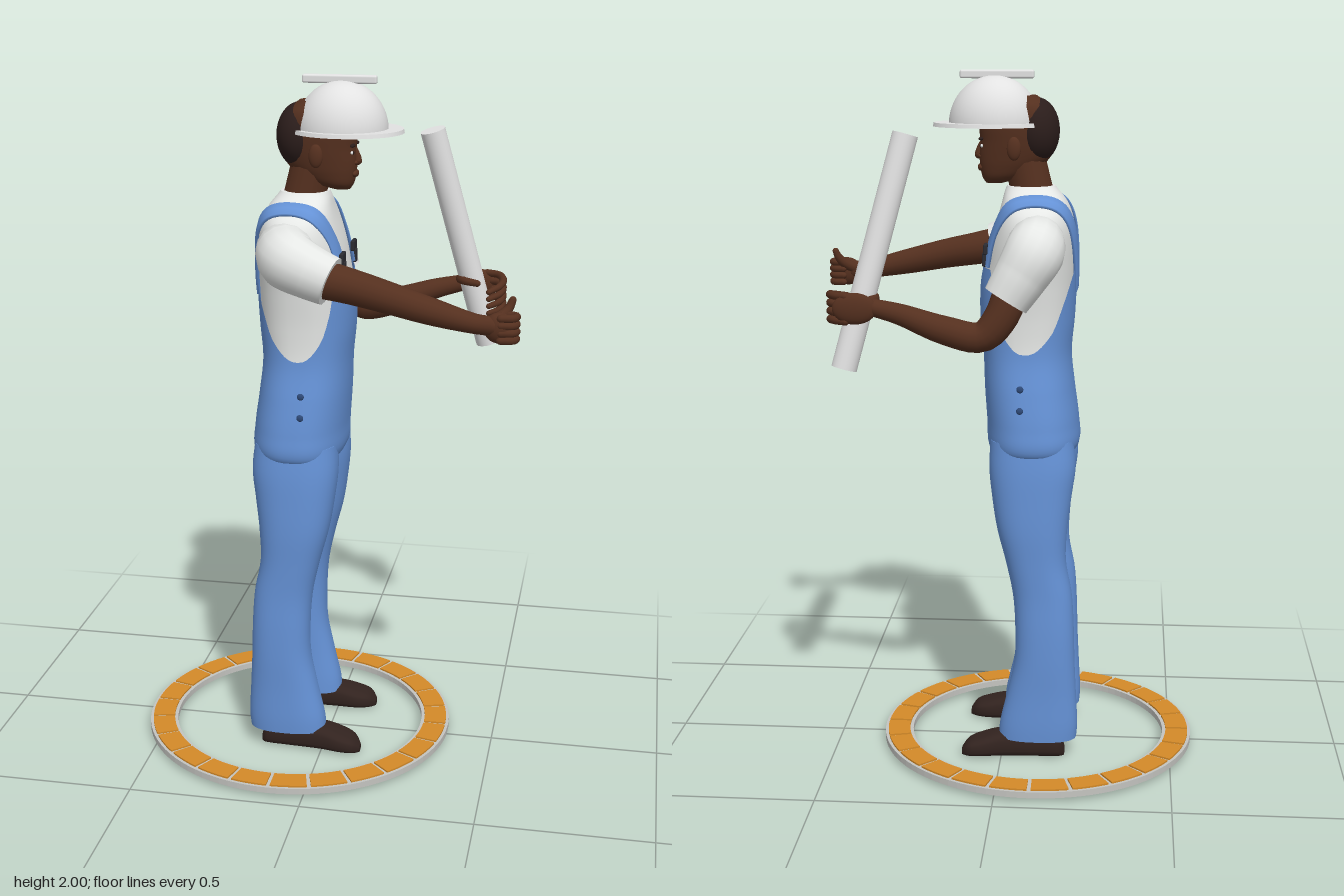
import * as THREE from 'three';
import { RoundedBoxGeometry } from 'three/addons/geometries/RoundedBoxGeometry.js';

const V = (x, y, z) => new THREE.Vector3(x, y, z);

function material(name, color, side = THREE.FrontSide) {
  const m = new THREE.MeshStandardMaterial({ color, side });
  m.name = name;
  return m;
}

// smooth interpolation of table rows, keyed by their first column
function sample(rows, k) {
  const n = rows.length;
  let i = 0;
  while (i < n - 2 && k > rows[i + 1][0]) i++;
  const a = rows[i], b = rows[i + 1], h = b[0] - a[0];
  const t = THREE.MathUtils.clamp((k - a[0]) / h, 0, 1);
  const p = rows[Math.max(i - 1, 0)], q = rows[Math.min(i + 2, n - 1)];
  return a.map((v, c) => {
    const m0 = (b[c] - p[c]) / (b[0] - p[0]) * h, m1 = (q[c] - v) / (q[0] - a[0]) * h;
    return v * (2 * t ** 3 - 3 * t * t + 1) + m0 * (t ** 3 - 2 * t * t + t)
      + b[c] * (3 * t * t - 2 * t ** 3) + m1 * (t ** 3 - t * t);
  });
}

// closed skin over a list of loops, with optional caps
function skin(rings, caps = true) {
  const m = rings[0].length, pos = [], idx = [];
  rings.forEach(r => r.forEach(p => pos.push(p.x, p.y, p.z)));
  for (let i = 0; i < rings.length - 1; i++) for (let j = 0; j < m; j++) {
    const k = (j + 1) % m, a = i * m + j, b = i * m + k;
    idx.push(a, b, a + m, b, b + m, a + m);
  }
  if (caps) for (const end of [0, 1]) {
    const ring = rings[end ? rings.length - 1 : 0], base = pos.length / 3, c = V(0, 0, 0);
    ring.forEach(p => { pos.push(p.x, p.y, p.z); c.addScaledVector(p, 1 / m); });
    pos.push(c.x, c.y, c.z);
    for (let j = 0; j < m; j++) {
      const k = (j + 1) % m;
      idx.push(base + m, base + (end ? j : k), base + (end ? k : j));
    }
  }
  const g = new THREE.BufferGeometry();
  g.setAttribute('position', new THREE.Float32BufferAttribute(pos, 3));
  g.setIndex(idx);
  g.computeVertexNormals();
  return g;
}

const power = (s, n) => Math.sign(s) * Math.abs(s) ** (2 / n);

// point on an upright form, row = [y, back, front, zMin, zMax]
function onForm(rows, y, a, n, off = 0) {
  const [, x0, x1, z0, z1] = sample(rows, y);
  return V((x0 + x1) / 2 + ((x1 - x0) / 2 + off) * power(Math.sin(a), n), y,
    (z0 + z1) / 2 + ((z1 - z0) / 2 + off) * power(Math.cos(a), n));
}

function upright(rows, y0, y1, n = 2.3, steps = 40, m = 40) {
  return skin(Array.from({ length: steps + 1 }, (_, i) => Array.from({ length: m }, (_, j) =>
    onForm(rows, y0 + (y1 - y0) * i / steps, j / m * Math.PI * 2, n))));
}

// tapered round limb through [x, y, z, radius] with rounded ends
function limb(pts, openEnd = false, steps = 24, m = 16) {
  const curve = new THREE.CatmullRomCurve3(pts.map(p => V(p[0], p[1], p[2])));
  const radii = pts.map((p, i) => [i, p[3]]);
  const f = curve.computeFrenetFrames(steps), rings = [];
  const add = (i, shift, scale) => {
    const r = sample(radii, curve.getUtoTmapping(i / steps) * (pts.length - 1))[1];
    const c = curve.getPointAt(i / steps).addScaledVector(f.tangents[i], shift * r);
    rings.push(Array.from({ length: m }, (_, j) => {
      const a = j / m * Math.PI * 2;
      return c.clone().addScaledVector(f.normals[i], r * scale * Math.cos(a))
        .addScaledVector(f.binormals[i], r * scale * Math.sin(a));
    }));
  };
  const bend = [0.4, 0.8, 1.2, 1.55];
  [...bend].reverse().forEach(a => add(0, -Math.sin(a), Math.cos(a)));
  for (let i = 0; i <= steps; i++) add(i, 0, 1);
  if (!openEnd) bend.forEach(a => add(steps, Math.sin(a), Math.cos(a)));
  return skin(rings);
}

const TORSO = [[0.89, -0.17, 0.01, 0.15], [0.93, -0.21, 0.038, 0.192], [1, -0.21, 0.043, 0.192], [1.1, -0.197, 0.05, 0.177],
  [1.2, -0.187, 0.054, 0.158], [1.3, -0.195, 0.063, 0.157], [1.4, -0.2, 0.062, 0.166], [1.46, -0.202, 0.052, 0.174],
  [1.52, -0.202, 0.04, 0.183], [1.57, -0.198, 0.026, 0.182], [1.61, -0.188, 0.014, 0.162], [1.64, -0.173, 0.006, 0.12],
  [1.665, -0.153, 0, 0.075], [1.678, -0.143, -0.006, 0.063]].map(([y, b, f, z]) => [y, b, f, -z, z]);
const HEAD = [[1.685, 0.005, 0.054, 0.022], [1.7, -0.05, 0.064, 0.044], [1.73, -0.1, 0.071, 0.058], [1.76, -0.13, 0.073, 0.066],
  [1.8, -0.142, 0.071, 0.073], [1.85, -0.142, 0.073, 0.077], [1.9, -0.125, 0.06, 0.072], [1.93, -0.09, 0.03, 0.05]]
  .map(([y, b, f, z]) => [y, b, f, -z, z]);
const LEG = [[0.06, -0.222, 0.008, 0.068, 0.198], [0.1, -0.225, 0.005, 0.068, 0.2], [0.2, -0.22, -0.018, 0.068, 0.2],
  [0.3, -0.215, -0.038, 0.064, 0.203], [0.4, -0.212, -0.04, 0.062, 0.203], [0.5, -0.205, -0.033, 0.056, 0.2],
  [0.6, -0.187, -0.012, 0.046, 0.202], [0.7, -0.19, 0.014, 0.032, 0.206], [0.8, -0.202, 0.03, 0.016, 0.204],
  [0.88, -0.212, 0.038, 0.002, 0.2], [0.96, -0.205, 0.035, -0.005, 0.19]];
// height of the overalls' upper edge, from back (-1) over the side to the front (1)
const EDGE = [[-1, 1.47], [-0.93, 1.44], [-0.75, 1.36], [-0.5, 1.27], [0, 1.215], [0.4, 1.27], [0.6, 1.36], [0.72, 1.445], [0.8, 1.452], [1, 1.452]];

// pushes a point out from the chest onto the torso surface
function onTorso(p, off) {
  const c = V(-0.065, 1.42, 0), d = p.clone().sub(c).normalize();
  let lo = 0, hi = 0.4;
  for (let i = 0; i < 30; i++) {
    const r = (lo + hi) / 2, q = c.clone().addScaledVector(d, r);
    const [, x0, x1, , z] = sample(TORSO, q.y);
    const inside = q.y < 1.678 && Math.abs((q.x - (x0 + x1) / 2) / ((x1 - x0) / 2)) ** 2.4 + Math.abs(q.z / z) ** 2.4 < 1;
    if (inside) lo = r; else hi = r;
  }
  return c.addScaledVector(d, lo + off);
}

function strapGeometry(s) {
  const path = new THREE.CatmullRomCurve3([[-0.2, 1.39, 0.02], [-0.2, 1.5, 0.055], [-0.18, 1.6, 0.1], [-0.085, 1.65, 0.13],
    [-0.01, 1.61, 0.122], [0.03, 1.56, 0.108], [0.05, 1.46, 0.09]].map(([x, y, z]) => V(x, y, z * s)));
  const rings = [];
  for (let i = 0; i <= 40; i++) {
    const p = path.getPointAt(i / 40), out = p.clone().sub(V(-0.065, 1.42, 0));
    const side = path.getTangentAt(i / 40).cross(out).normalize().multiplyScalar(0.024);
    const a = p.clone().add(side), b = p.clone().sub(side);
    rings.push([onTorso(a, 0.012), onTorso(p, 0.013), onTorso(b, 0.012), onTorso(b, 0.002), onTorso(a, 0.002)]);
  }
  return skin(rings);
}

function arcBand(r0, r1, a0, a1, depth) {
  const s = new THREE.Shape();
  s.absarc(0, 0, r1, a0, a1, false);
  s.absarc(0, 0, r0, a1, a0, true);
  return new THREE.ExtrudeGeometry(s, { depth, bevelEnabled: false, curveSegments: 6 }).rotateX(-Math.PI / 2);
}

export function createModel() {
  const model = new THREE.Group();
  model.name = 'builder';
  const denim = material('denim blue', 0x6592d6, THREE.DoubleSide), shirt = material('shirt white', 0xe6e8e6);
  const skinTone = material('skin brown', 0x55301f), hair = material('hair dark', 0x2b1d1b), shoe = material('shoe brown', 0x32231f);
  const shell = material('helmet white', 0xe2e2e2), metal = material('dark metal', 0x2c2c32), orange = material('ring orange', 0xd48a28);
  const grey = material('ring grey', 0xc4c4c0), navy = material('button blue', 0x2f4a78);
  const add = (name, geo, mat, x = 0, y = 0, z = 0) => {
    const m = new THREE.Mesh(geo, mat);
    m.name = name;
    m.position.set(x, y, z);
    model.add(m);
    return m;
  };
  const ball = (name, mat, x, y, z, rx, ry, rz) =>
    add(name, new THREE.SphereGeometry(1, 24, 16), mat, x, y, z).scale.set(rx, ry, rz);

  // floor ring with tiles
  const disc = new THREE.Shape().absarc(0, 0, 0.465, 0, Math.PI * 2);
  disc.holes.push(new THREE.Path().absarc(0, 0, 0.38, 0, Math.PI * 2, true));
  add('ringBase', new THREE.ExtrudeGeometry(disc, { depth: 0.018, bevelEnabled: false, curveSegments: 48 })
    .rotateX(-Math.PI / 2), grey, -0.1, 0.012, 0);
  for (let i = 0; i < 24; i++) {
    const a = i * Math.PI / 12;
    add('ringTile', arcBand(0.39, 0.456, a + 0.013, a + Math.PI / 12 - 0.013, 0.006), orange, -0.1, 0.029, 0);
  }

  // torso and overalls
  add('shirtBody', upright(TORSO, 1.1, 1.678, 2.4, 50), shirt);
  const rings = [];
  for (let i = 0; i <= 40; i++) rings.push(Array.from({ length: 80 }, (_, j) => {
    const a = j / 80 * Math.PI * 2, top = sample(EDGE, Math.sin(a))[1];
    return onForm(TORSO, 0.89 + (top - 0.89) * i / 40, a, 2.4, 0.007);
  }));
  add('overallsBody', skin(rings, false), denim);

  // mirrored parts
  for (const s of [1, -1]) {
    const leg = LEG.map(([y, b, f, i, o]) => [y, b, f, Math.min(i * s, o * s), Math.max(i * s, o * s)]);
    add('trouserLeg', upright(leg, 0.06, 0.96, 2.4), denim);
    const rows = [[-0.187, 0.025, 0.015, 0.135], [-0.175, 0.066, 0.036, 0.135], [-0.1, 0.078, 0.043, 0.137], [0, 0.074, 0.047, 0.14],
      [0.06, 0.058, 0.05, 0.145], [0.1, 0.042, 0.038, 0.15], [0.117, 0.02, 0.015, 0.152]];
    add('shoe', skin(Array.from({ length: 31 }, (_, i) => {
      const [x, h, w, z] = sample(rows, -0.187 + 0.304 * i / 30);
      return Array.from({ length: 24 }, (_, j) => {
        const a = j / 24 * Math.PI * 2;
        return V(x, h / 2 + h / 2 * power(Math.cos(a), 3), z * s + w * power(Math.sin(a), 3));
      });
    })), shoe);
    add('strap', strapGeometry(s), denim);
    const clip = onTorso(V(0.05, 1.495, 0.09 * s), 0.014);
    add('buckle', new RoundedBoxGeometry(0.012, 0.03, 0.046, 2, 0.004), metal, clip.x, clip.y + 0.012, clip.z);
    add('buckleHook', new RoundedBoxGeometry(0.012, 0.04, 0.022, 2, 0.004), metal, clip.x + 0.004, clip.y - 0.018, clip.z);
    for (const y of [1.12, 1.06]) ball('sideButton', navy, -0.055, y, s * (y > 1.1 ? 0.181 : 0.191), 0.01, 0.01, 0.005);
    ball('ear', skinTone, -0.03, 1.785, 0.077 * s, 0.02, 0.033, 0.012);
    ball('eye', shirt, 0.064, 1.79, 0.03 * s, 0.004, 0.005, 0.011);
    ball('pupil', hair, 0.067, 1.79, 0.03 * s, 0.003, 0.005, 0.005);
    ball('eyebrow', hair, 0.066, 1.81, 0.031 * s, 0.007, 0.005, 0.019);
  }

  // head
  add('neck', limb([[-0.09, 1.6, 0, 0.063], [-0.07, 1.69, 0, 0.06], [-0.055, 1.76, 0, 0.058]]), skinTone);
  add('head', upright(HEAD, 1.685, 1.93, 2.1), skinTone);
  add('nose', limb([[0.068, 1.795, 0, 0.007], [0.074, 1.775, 0, 0.01], [0.075, 1.764, 0, 0.012]]), skinTone);
  ball('noseBase', skinTone, 0.07, 1.76, 0, 0.009, 0.008, 0.019);
  ball('lips', skinTone, 0.068, 1.729, 0, 0.01, 0.011, 0.025);
  ball('hair', hair, -0.09, 1.832, 0, 0.065, 0.092, 0.08);

  // helmet
  add('helmetDome', new THREE.SphereGeometry(1, 40, 20, 0, Math.PI * 2, 0, Math.PI / 2), shell, 0.03, 1.848, 0).scale.set(0.13, 0.137, 0.12);
  add('helmetBrim', new THREE.CylinderGeometry(0.985, 1, 0.011, 48), shell, 0.045, 1.849, 0).scale.set(0.16, 1, 0.142);
  add('helmetRidge', new RoundedBoxGeometry(0.21, 0.024, 0.022, 3, 0.006), shell, 0.023, 1.988, 0);

  // right arm with raised thumb
  add('rightSleeve', limb([[-0.1, 1.53, 0.165, 0.083], [-0.075, 1.52, 0.222, 0.083], [-0.01, 1.495, 0.245, 0.075], [0.045, 1.475, 0.252, 0.069]], true), shirt);
  add('rightArm', limb([[0, 1.485, 0.25, 0.055], [0.1, 1.465, 0.255, 0.049], [0.2, 1.445, 0.275, 0.044], [0.33, 1.415, 0.295, 0.037],
    [0.45, 1.39, 0.305, 0.027], [0.49, 1.388, 0.308, 0.028]]), skinTone);
  ball('rightPalm', skinTone, 0.51, 1.383, 0.308, 0.042, 0.042, 0.026);
  for (let i = 0; i < 4; i++) {
    const y = 1.353 + i * 0.02;
    add('rightFinger', limb([[0.515, y, 0.325, 0.011], [0.548, y, 0.318, 0.011], [0.553, y, 0.29, 0.011], [0.52, y, 0.277, 0.01]], false, 14, 10), skinTone);
  }
  add('rightThumb', limb([[0.49, 1.395, 0.295, 0.017], [0.52, 1.415, 0.277, 0.015], [0.533, 1.432, 0.268, 0.012], [0.54, 1.45, 0.264, 0.01]], false, 14, 10), skinTone);

  // left arm gripping the paper roll
  add('leftSleeve', limb([[-0.1, 1.53, -0.165, 0.08], [-0.095, 1.51, -0.222, 0.083], [-0.06, 1.45, -0.242, 0.075], [-0.02, 1.385, -0.252, 0.066]], true), shirt);
  add('leftArm', limb([[-0.04, 1.42, -0.25, 0.05], [-0.005, 1.335, -0.262, 0.047], [0.045, 1.285, -0.265, 0.043], [0.15, 1.303, -0.265, 0.04],
    [0.27, 1.345, -0.265, 0.03], [0.34, 1.363, -0.268, 0.025]]), skinTone);
  ball('leftPalm', skinTone, 0.395, 1.362, -0.281, 0.062, 0.044, 0.019);
  for (let i = 0; i < 4; i++) {
    const y = 1.395 - i * 0.023;
    add('leftFinger', limb([[0.42, y, -0.282, 0.011], [0.455, y, -0.262, 0.011], [0.474, y - 0.004, -0.21, 0.011],
      [0.467, y - 0.012, -0.16, 0.01], [0.44, y - 0.02, -0.12 - i * 0.008, 0.008]], false, 18, 10), skinTone);
  }
  add('leftThumb', limb([[0.36, 1.375, -0.275, 0.017], [0.345, 1.385, -0.235, 0.014], [0.36, 1.388, -0.195, 0.012], [0.4, 1.385, -0.18, 0.01]], false, 14, 10), skinTone);
  const top = V(0.262, 1.83, -0.172), low = V(0.43, 1.19, -0.26);
  const roll = add('paperRoll', new THREE.CylinderGeometry(0.036, 0.036, top.distanceTo(low), 32), shell);
  roll.position.copy(top).add(low).multiplyScalar(0.5);
  roll.quaternion.setFromUnitVectors(V(0, 1, 0), top.clone().sub(low).normalize());

  return model;
}
